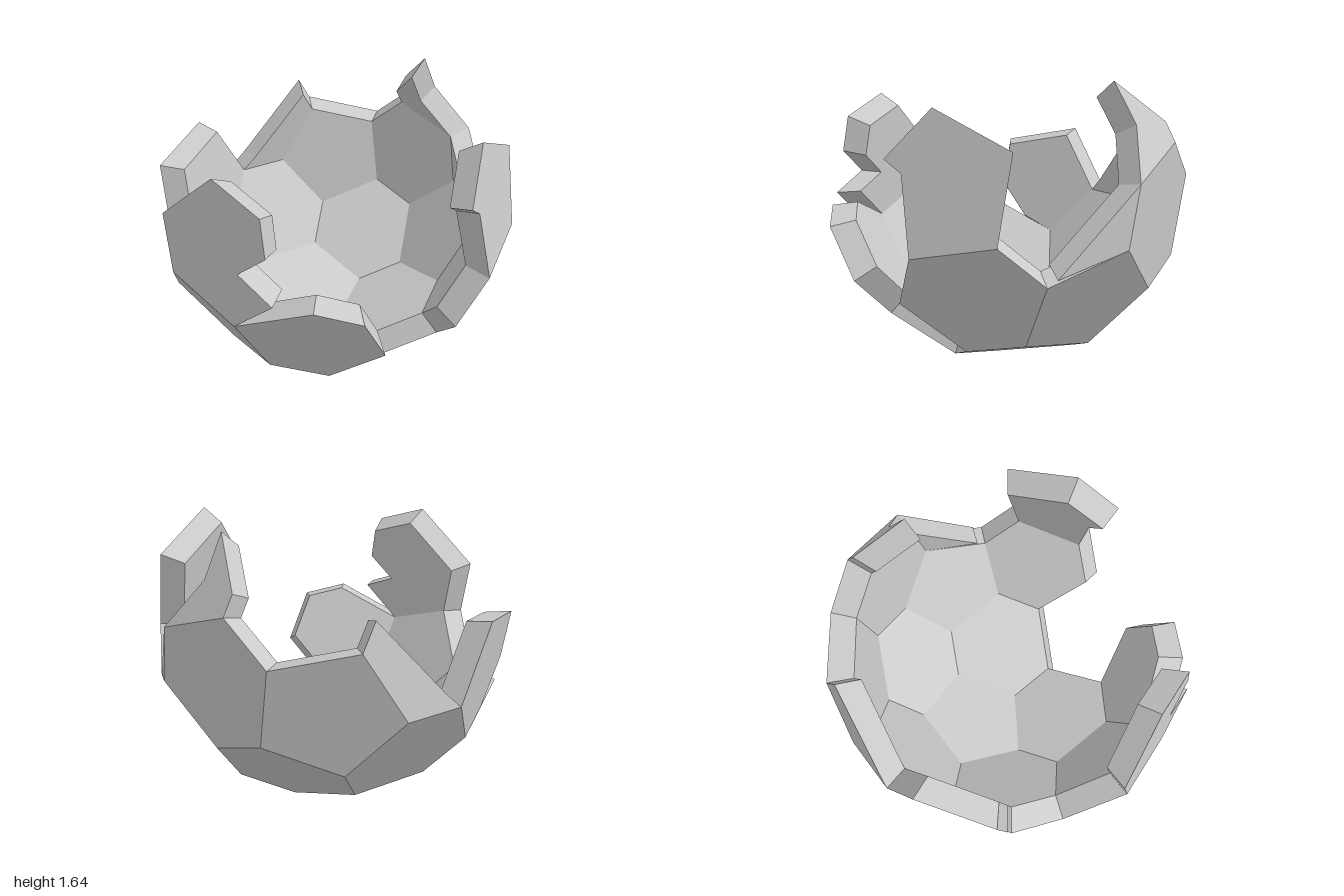
import * as THREE from 'three';

const V = (x, y, z) => new THREE.Vector3(x, y, z);
const RADIUS = 1.176;  // icosahedron that is truncated
const CUT = 0.3676;    // truncation along each edge
const CENTRE_Y = 1.013;
const INNER = 0.856;   // inner surface relative to outer

// Tilted icosahedron: 0 = bottom, 1-5 = lower ring, 6-10 = opposite of 1-5, 11 = top
const axis = V(-0.199, -0.940, -0.278).normalize();
const tangent = V(0.5315, -0.342, 0.774);
tangent.addScaledVector(axis, -tangent.dot(axis)).normalize();
const side = axis.clone().cross(tangent);
const ico = [axis.clone()];
for (let k = 0; k < 5; k++) {
  const a = (k * Math.PI * 2) / 5;
  ico.push(axis.clone().multiplyScalar(Math.sqrt(0.2))
    .addScaledVector(tangent, Math.cos(a) * Math.sqrt(0.8))
    .addScaledVector(side, Math.sin(a) * Math.sqrt(0.8)));
}
for (let k = 1; k <= 5; k++) ico.push(ico[k].clone().negate());
ico.push(axis.clone().negate());

// Corner of the shell on the edge i-j, nearer to i
const corner = (i, j) => ico[i].clone().lerp(ico[j], CUT).multiplyScalar(RADIUS);

// All corners of a whole face: one centre index = pentagon, three = hexagon
function wholeFace(ids) {
  if (ids.length === 3) {
    const [a, b, c] = ids;
    return [[a, b], [b, a], [b, c], [c, b], [c, a], [a, c]];
  }
  const i = ids[0], n = ico[i];
  const near = [...ico.keys()].filter(j => Math.abs(ico[j].dot(n) - 0.447) < 0.01);
  const u = ico[near[0]].clone().addScaledVector(n, -ico[near[0]].dot(n)).normalize();
  const w = n.clone().cross(u);
  const angle = j => Math.atan2(ico[j].dot(w), ico[j].dot(u));
  return near.sort((p, q) => angle(p) - angle(q)).map(j => [i, j]);
}

// Faces that remain; outline entries are corners [i, j] or broken points [x, y, z]
const FACES = [
  { name: 'bottomPentagon', ids: [0] },
  { name: 'frontRightPentagon', ids: [2] },
  { name: 'backPentagon', ids: [4] },
  { name: 'backLeftPentagon', ids: [5] },
  { name: 'lowerHexagonFront', ids: [0, 1, 2] },
  { name: 'lowerHexagonRight', ids: [0, 2, 3] },
  { name: 'lowerHexagonBackRight', ids: [0, 3, 4] },
  { name: 'lowerHexagonBack', ids: [0, 4, 5] },
  { name: 'lowerHexagonLeft', ids: [0, 5, 1] },
  { name: 'backLeftHexagon', ids: [4, 5, 7] },
  { name: 'leftHexagon', ids: [5, 1, 8] },
  { name: 'brokenRightPentagon', ids: [3],
    outline: [[3, 0], [3, 4], [3, 6], [3, 10], [-0.975, 0.82, -0.065], [-0.86, 0.58, -0.22]] },
  { name: 'brokenLeftPentagon', ids: [8],
    outline: [[8, 1], [8, 5], [8, 7], [8, 11], [0.712, 1.295, 0.65], [0.76, 1.23, 0.565]] },
  { name: 'backSpike', ids: [7],
    outline: [[7, 5], [7, 4], [0.42, 1.42, -0.81], [0.5, 1.63, -0.5], [0.59, 1.43, -0.62]] },
  { name: 'brokenFrontHexagon', ids: [1, 2, 9],
    outline: [[2, 9], [2, 1], [1, 2], [1, 9], [9, 1], [-0.05, 0.895, 0.985]] },
  { name: 'brokenBackHexagon', ids: [3, 4, 6],
    outline: [[4, 3], [3, 4], [-0.615, 0.9, -0.76], [-0.26, 1.34, -0.92], [4, 6]] },
  { name: 'brokenUpperRightHexagon', ids: [2, 9, 10],
    outline: [[2, 9], [2, 10], [10, 2], [10, 9], [9, 10],
      [-0.28, 1.17, 0.95], [-0.44, 1.02, 0.87], [9, 2]] },
  { name: 'leftShard', ids: [5, 7, 8],
    outline: [[5, 7], [7, 5], [0.95, 0.73, -0.18]] },
];

// Outline in space, counter-clockwise from outside, with its flat triangulation
function resolve({ name, ids, outline }) {
  const n = V(0, 0, 0);
  ids.forEach(i => n.add(ico[i]));
  n.normalize();
  const whole = wholeFace(ids);
  const depth = corner(...whole[0]).dot(n);
  let pts = (outline || whole).map(e => {
    if (e.length === 2) return corner(...e);
    const p = V(e[0], e[1] - CENTRE_Y, e[2]);
    return p.multiplyScalar(depth / p.dot(n));
  });
  const u = V(0, 1, 0).cross(n).normalize();
  const w = n.clone().cross(u);
  const flat = () => pts.map(p => new THREE.Vector2(p.dot(u), p.dot(w)));
  if (THREE.ShapeUtils.isClockWise(flat())) pts = pts.reverse();
  return { name, pts, tris: THREE.ShapeUtils.triangulateShape(flat(), []) };
}

const key = p => p.toArray().map(v => Math.round(v * 1000) + 0).join();
const edgeKey = (a, b) => [key(a), key(b)].sort().join('|');

// Thick plate: outer face, inner face and walls along the exposed edges
function plate({ pts, tris }, edgeCount) {
  const pos = [];
  const tri = (...ps) => ps.forEach(p => pos.push(p.x, p.y, p.z));
  const inner = pts.map(p => p.clone().multiplyScalar(INNER));
  for (const [a, b, c] of tris) {
    tri(pts[a], pts[b], pts[c]);
    tri(inner[a], inner[c], inner[b]);
  }
  pts.forEach((p, i) => {
    const j = (i + 1) % pts.length;
    if (edgeCount.get(edgeKey(p, pts[j])) > 1) return;
    tri(p, inner[i], inner[j]);
    tri(p, inner[j], pts[j]);
  });
  const g = new THREE.BufferGeometry();
  g.setAttribute('position', new THREE.Float32BufferAttribute(pos, 3));
  g.computeVertexNormals();
  return g;
}

export function createModel() {
  const group = new THREE.Group();
  group.name = 'brokenShell';
  const material = new THREE.MeshStandardMaterial({ color: 0xcccccc, flatShading: true });
  const faces = FACES.map(resolve);
  const edgeCount = new Map();
  for (const { pts } of faces) {
    pts.forEach((p, i) => {
      const k = edgeKey(p, pts[(i + 1) % pts.length]);
      edgeCount.set(k, (edgeCount.get(k) || 0) + 1);
    });
  }
  for (const face of faces) {
    const mesh = new THREE.Mesh(plate(face, edgeCount), material);
    mesh.name = face.name;
    mesh.position.y = CENTRE_Y;
    group.add(mesh);
  }
  return group;
}
